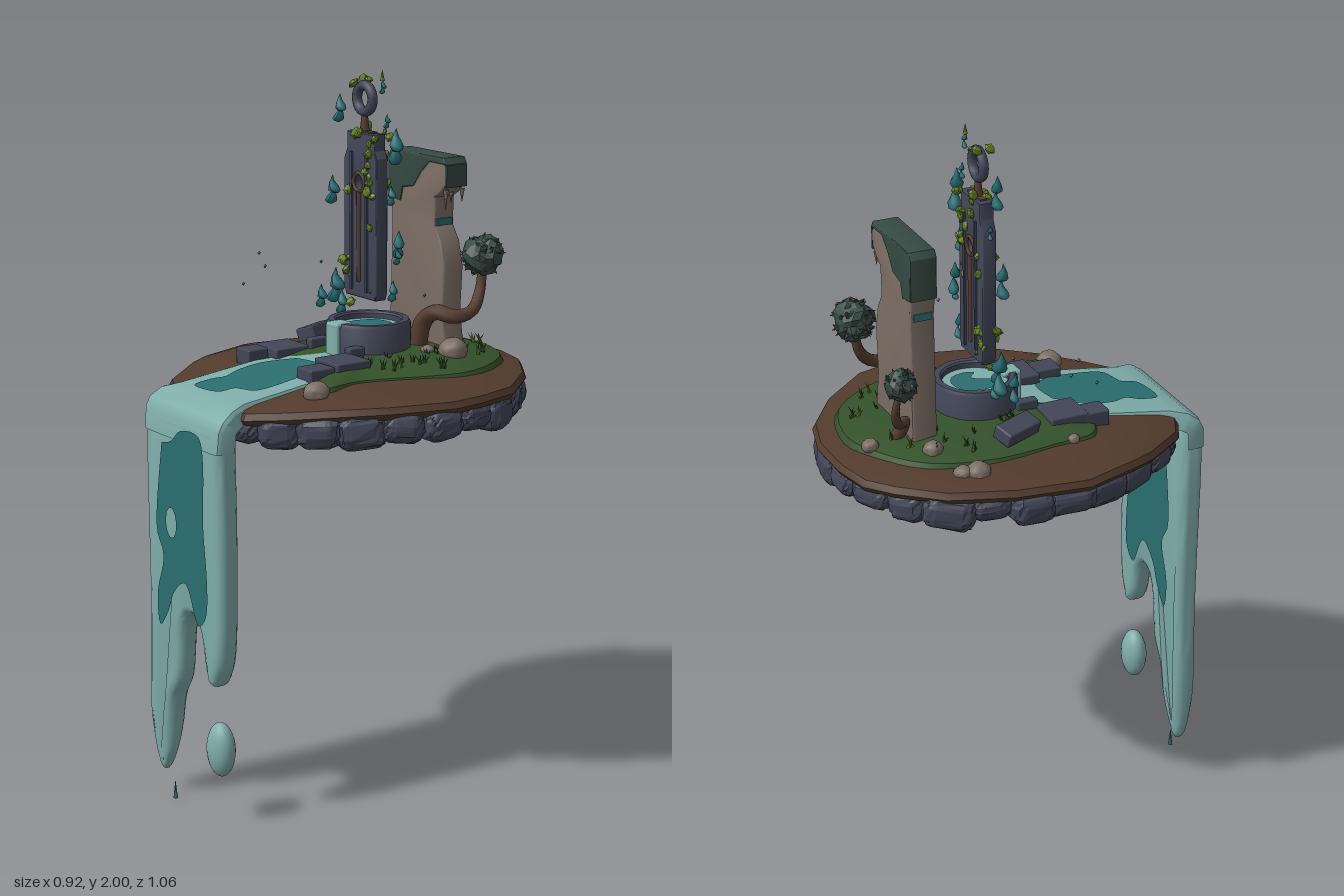
import * as THREE from 'three';
import { toCreasedNormals } from 'three/addons/utils/BufferGeometryUtils.js';
import { RoundedBoxGeometry } from 'three/addons/geometries/RoundedBoxGeometry.js';

const V = (x, y, z) => new THREE.Vector3(x, y, z);
const mat = (name, color, side = THREE.FrontSide) => {
  const m = new THREE.MeshStandardMaterial({ color, side });
  m.name = name;
  return m;
};

export function createModel() {
  const root = new THREE.Group();
  root.name = 'floatingIsland';
  const dirt = mat('dirt', 0x523b2d), grass = mat('grass', 0x34512a), stone = mat('stone', 0x424658);
  const tan = mat('paleRock', 0x7c6e64), moss = mat('moss', 0x364a43), bark = mat('bark', 0x573e31);
  const water = mat('water', 0x7fadaa, THREE.DoubleSide), deep = mat('deepWater', 0x2b6e6f, THREE.DoubleSide);
  const wispMat = mat('wisp', 0x226b71), vineMat = mat('vine', 0x618222);

  let seed = 7;
  const rnd = (a = 0, b = 1) => {
    seed = (seed * 16807) % 2147483647;
    return a + (b - a) * seed / 2147483647;
  };
  const group = (name) => {
    const g = new THREE.Group();
    g.name = name;
    root.add(g);
    return g;
  };
  const add = (name, geo, material, pos = [0, 0, 0], rot = [0, 0, 0], parent = root) => {
    const m = new THREE.Mesh(geo, material);
    m.name = name;
    m.position.set(...pos);
    m.rotation.set(...rot);
    parent.add(m);
    return m;
  };
  // moves corners in or out by a hash of their place, so shared corners stay joined
  const rough = (geo, amount, salt = 0) => {
    const p = geo.attributes.position, v = V();
    for (let i = 0; i < p.count; i++) {
      v.fromBufferAttribute(p, i);
      const r = (n) => Math.round(n * 1000) / 1000 + salt;
      const h = Math.sin(r(v.x) * 127.1 + r(v.y) * 311.7 + r(v.z) * 74.7) * 43758.5;
      v.multiplyScalar(1 + amount * ((h - Math.floor(h)) * 2 - 1));
      p.setXYZ(i, v.x, v.y, v.z);
    }
    geo.computeVertexNormals();
    return geo;
  };
  // grid of rows of points, joined into a surface
  const surface = (rows, closed) => {
    const n = rows[0].length, pos = rows.flat().flatMap((p) => [p.x, p.y, p.z]), idx = [];
    for (let j = 0; j + 1 < rows.length; j++) for (let i = 0; i < (closed ? n : n - 1); i++) {
      const a = j * n + i, b = j * n + (i + 1) % n;
      idx.push(a, a + n, b + n, a, b + n, b);
    }
    const g = new THREE.BufferGeometry();
    g.setAttribute('position', new THREE.Float32BufferAttribute(pos, 3));
    g.setIndex(idx);
    g.computeVertexNormals();
    return toCreasedNormals(g, 0.6);
  };
  // scaled copies of an outline at given heights, sagging toward the front
  const mound = (outline, cz, profile) => surface(profile.map(([s, y]) => outline.map(([x, z]) => {
    const zz = cz + (z - cz) * s;
    return V(x * s, y - .09 * Math.max(0, zz - .18), zz);
  })), true);
  const vec2 = (pts) => pts.map((p) => new THREE.Vector2(...p));
  const shapeOf = (pts, smooth) => new THREE.Shape(smooth
    ? new THREE.SplineCurve(vec2([...pts, pts[0]])).getPoints(pts.length * 4) : vec2(pts));
  const slab = (shape, depth, bevel) => new THREE.ExtrudeGeometry(shape, {
    depth: depth - 2 * bevel, bevelEnabled: bevel > 0, bevelSize: bevel, bevelOffset: -bevel,
    bevelThickness: bevel, bevelSegments: 3,
  }).translate(0, 0, -depth / 2 + bevel);

  // ground disc with a shallow hollow below
  const rim = [[0, .445], [.17, .44], [.25, .36], [.33, .26], [.41, .14], [.457, -.04], [.445, -.14], [.41, -.27],
    [.29, -.41], [.16, -.5], [.04, -.53], [-.1, -.525], [-.21, -.5], [-.28, -.44], [-.37, -.33], [-.43, -.16],
    [-.457, .04], [-.4, .21], [-.37, .27], [-.27, .4], [-.19, .44]];
  add('ground', mound(rim, -.04, [[0, 1.2], [.6, 1.195], [.9, 1.182], [.98, 1.172], [1, 1.155], [.98, 1.14],
    [.88, 1.115], [.5, 1.125], [0, 1.13]]), dirt);
  const lawn = [[0, .08], [.1, .16], [.17, .23], [.235, .22], [.225, .1], [.29, -.1], [.305, -.21], [.26, -.33],
    [.16, -.44], [-.01, -.48], [-.14, -.43], [-.23, -.36], [-.28, -.27], [-.305, -.13], [-.29, .04], [-.27, .16], [-.15, .19]];
  const lawnEdge = shapeOf(lawn, true).getPoints().slice(0, -1).map((p) => [p.x, p.y]);
  add('lawn', mound(lawnEdge, -.14, [[0, 1.235], [.5, 1.23], [.8, 1.215], [.95, 1.2], [1, 1.17]]), grass);

  // boulders tucked under the rim
  const ring = group('rimStones');
  const curve = new THREE.CatmullRomCurve3(rim.map(([x, z]) => V(x * .882, 0, -.04 + (z + .04) * .882)), true);
  for (let i = 0; i < 25; i++) {
    const p = curve.getPointAt(i / 25), t = curve.getTangentAt(i / 25), h = rnd(.08, .105);
    const g = rough(new RoundedBoxGeometry(rnd(.105, .15), h, rnd(.085, .115), 3, .038), .04, i);
    add('rimStone', g, stone, [p.x, 1.156 - h / 2 - Math.max(0, p.z - .2) * .04, p.z],
      [rnd(-.15, .15), Math.atan2(-t.z, t.x) + rnd(-.15, .15), rnd(-.1, .1)], ring);
  }

  // pool with a spout
  const px = -.012, pz = -.092;
  add('poolWall', toCreasedNormals(new THREE.LatheGeometry(vec2([[.117, 1.19], [.117, 1.3], [.112, 1.31], [.095, 1.31],
    [.09, 1.305], [.09, 1.2]]), 32), .5), stone, [px, 0, pz]);
  add('poolWater', new THREE.CircleGeometry(.092, 32), water, [px, 1.29, pz], [-Math.PI / 2, 0, 0]);
  add('poolDeep', new THREE.ShapeGeometry(shapeOf([[-.06, .0], [-.045, .045], [0, .065], [.045, .05], [.06, .01], [.05, -.02],
    [.02, .0], [-.01, -.05], [-.05, -.04]], true)), deep, [px, 1.293, pz], [-Math.PI / 2, 0, 0]);
  add('spoutTop', new RoundedBoxGeometry(.055, .016, .055, 3, .008), water, [px, 1.304, .008]);
  add('spoutFall', new RoundedBoxGeometry(.055, .1, .014, 3, .007), water, [px, 1.258, .028]);

  // stream that bends over the edge: z, y, left, right, tilt
  const stream = [[.01, 1.226, -.1, .06, 0], [.2, 1.203, -.165, .15, .1], [.42, 1.172, -.177, .147, .15],
    [.47, 1.162, -.197, .168, .45], [.505, 1.138, -.205, .175, .95], [.519, 1.11, -.205, .175, 1.4], [.524, 1.05, -.203, .173, 1.57]];
  add('stream', surface(stream.map(([z, y, l, r, t]) =>
    [[l, .055], [l, .014], [l + .006, .004], [l + .022, 0], [r - .022, 0], [r - .006, .004], [r, .014], [r, .055]]
      .map(([x, d]) => V(x, y - d * Math.cos(t), z - d * Math.sin(t)))).reverse(), false), water);
  add('streamDeep', new THREE.ShapeGeometry(shapeOf([[-.055, -.12], [.03, -.11], [.075, -.155], [.095, -.22], [.098, -.34],
    [.05, -.365], [.025, -.375], [.01, -.42], [-.09, -.428], [-.1, -.37], [-.085, -.33], [-.105, -.28], [-.105, -.2]], true))
    .rotateX(-Math.PI / 2).applyMatrix4(new THREE.Matrix4().set(1, 0, 0, 0, 0, 1, -.132, 1.232, 0, 0, 1, 0, 0, 0, 0, 1)), deep);

  // hanging water sheet with ragged hem, thinner toward the low tip
  const sheet = slab(shapeOf([[-.185, 1.11], [0, 1.115], [.155, 1.11], [.172, 1.0], [.175, .7], [.165, .5],
    [.14, .42], [.115, .395], [.085, .44], [.065, .53], [.03, .57], [-.01, .56], [-.035, .5], [-.05, .37], [-.09, .29],
    [-.11, .16], [-.14, .085], [-.165, .07], [-.192, .13], [-.205, .3], [-.2, .6], [-.203, 1.0]], true), .066, .024);
  const sp = sheet.attributes.position;
  for (let i = 0; i < sp.count; i++) {
    const low = Math.max(0, .45 - sp.getY(i));
    sp.setZ(i, sp.getZ(i) * Math.min(1, 1.75 - low * 3.4) + low * .02);
  }
  add('waterfall', toCreasedNormals(sheet, .8), water, [0, 0, .488]);
  const patchPoints = [[-.1, 1.03], [-.05, 1.045], [0, 1.083], [.09, 1.083], [.11, 1.0], [.105, .85], [.12, .7], [.115, .6],
    [.07, .56], [.03, .64], [0, .66], [-.05, .62], [-.08, .56], [-.125, .51], [-.135, .6], [-.1, .71], [-.135, .8]];
  const frontPatch = shapeOf(patchPoints, true);
  frontPatch.holes.push(new THREE.Path().absellipse(-.058, .815, .026, .042, 0, Math.PI * 2));
  add('waterfallDeepFront', new THREE.ShapeGeometry(frontPatch), deep, [0, 0, .5275]);
  add('waterfallDeepBack', new THREE.ShapeGeometry(shapeOf(patchPoints, true)), deep, [0, 0, .4515]);
  add('waterDrop', new THREE.SphereGeometry(1, 20, 14).scale(.048, .077, .036), water, [.112, .21, .485]);
  add('tinyDrop', new THREE.ConeGeometry(.007, .055, 6), deep, [-.098, .0275, .505]);

  // stone blocks: x, y, z, width, height, depth, turn, lean
  const blocks = group('blocks');
  for (const [x, y, z, w, h, d, r = 0, l = 0] of [[-.155, 1.21, .1, .11, .05, .11], [-.178, 1.207, .182, .066, .05, .07],
    [.108, 1.215, .08, .112, .05, .11], [.12, 1.207, .175, .07, .05, .08], [-.1, 1.225, .02, .028, .06, .06],
    [.065, 1.225, .01, .03, .06, .05], [-.225, 1.24, -.065, .058, .04, .125, .42, .3]])
    add('block', new RoundedBoxGeometry(w, h, d, 1, .005), stone, [x, y, z], [0, r, l], blocks);

  // floating gate with keyhole, rod and ring
  const gate = shapeOf([[-.08, 1.37], [.055, 1.37], [.062, 1.39], [.062, 1.76], [.05, 1.78], [.05, 1.825], [-.075, 1.825],
    [-.075, 1.78], [-.09, 1.75], [-.09, 1.39]]);
  gate.holes.push(new THREE.Path().absarc(-.016, 1.69, .022, 0, Math.PI * 2));
  add('gate', toCreasedNormals(slab(gate, .04, .005), .5), stone, [0, 0, -.083]);
  add('gateRing', new THREE.TorusGeometry(.036, .014, 8, 24), stone, [-.02, 1.915, -.083]);
  add('ringStem', new THREE.CylinderGeometry(.008, .014, .06, 8), bark, [-.02, 1.85, -.083]);
  add('gateCrest', new THREE.BoxGeometry(.08, .006, .02), bark, [-.014, 1.826, -.083]);
  for (const z of [-.061, -.105]) {
    add('keyholeTrim', new THREE.TorusGeometry(.025, .005, 6, 20), bark, [-.016, 1.69, z]);
    add('gateRod', new THREE.CylinderGeometry(.008, .006, .25, 6), bark, [-.016, 1.54, z]);
    for (const x of [-.05, .02]) add('gateRidge', new THREE.BoxGeometry(.008, .38, .008), stone, [x, 1.58, z]);
  }

  // leafy clusters on the gate
  const vines = group('vines');
  for (const [x, y, n] of [[-.075, 1.45, 12], [.03, 1.74, 10], [.04, 1.68, 8], [-.06, 1.66, 3],
    [-.02, 1.81, 5], [.045, 1.8, 6], [.04, 1.59, 3], [-.06, 1.38, 3], [-.045, 1.94, 3]])
    for (let i = 0; i < n; i++) {
      const s = rnd(.009, .016);
      add('vineLeaf', new THREE.IcosahedronGeometry(s, 0).scale(1, 1.2, .7), vineMat,
        [x + rnd(-.016, .016), y + rnd(-.032, .032), -.083 + (i % 2 ? 1 : -1) * rnd(.014, .027)], [rnd(0, 3), rnd(0, 3), 0], vines);
    }
  add('topLeaf', new THREE.ConeGeometry(.007, .03, 5), vineMat, [.06, 1.985, -.083], [0, 0, 0], vines);

  // curled wisps drifting beside the gate
  const wisps = group('wisps');
  for (const [x, y, s, z = -.085] of [[-.14, 1.87, .036], [-.175, 1.64, .038], [.12, 1.79, .046], [.135, 1.53, .036],
    [-.16, 1.37, .048], [.06, 1.95, .018], [.08, 1.86, .018], [.1, 1.66, .026], [-.13, 1.33, .034], [-.195, 1.34, .032, -.06],
    [-.1, 1.75, .016], [.11, 1.4, .028], [.13, 1.5, .022]])
    for (const side of [-1, 1]) {
      const g = new THREE.LatheGeometry(vec2([[0, -.6], [.32, -.45], [.42, -.1], [.22, .35], [0, .8]]), 8);
      const p = g.attributes.position;
      for (let i = 0; i < p.count; i++) p.setX(i, p.getX(i) + side * .7 * p.getY(i) ** 2);
      g.scale(s, s, s).computeVertexNormals();
      add('wisp', g, wispMat, [x + side * s * .3, y + side * s * .45, z + side * s * .2], [0, rnd(-.6, .6), side * .5], wisps);
    }

  // standing ruin slab with mossy cap and drips
  add('ruin', toCreasedNormals(slab(shapeOf([[-.145, 1.2], [.12, 1.2], [.1, 1.32], [.108, 1.45], [.09, 1.52], [.062, 1.56],
    [.065, 1.64], [.09, 1.655], [.115, 1.68], [.117, 1.72], [.1, 1.75], [-.135, 1.75], [-.145, 1.73], [-.14, 1.6],
    [-.135, 1.57], [-.138, 1.45]]), .07, .008), .5), tan, [0, 0, -.294]);
  add('ruinMoss', toCreasedNormals(slab(shapeOf([[-.148, 1.62], [-.09, 1.61], [-.08, 1.65], [-.03, 1.66], [.0, 1.7],
    [.04, 1.735], [.115, 1.735], [.104, 1.753], [-.137, 1.753], [-.149, 1.735]]), .076, .005), .5), moss, [0, 0, -.294]);
  add('ruinMossEnd', new THREE.BoxGeometry(.008, .062, .07), moss, [.114, 1.703, -.294]);
  for (const [x, h, z] of [[.1, .06, -.27], [.085, .045, -.3], [.108, .04, -.32]])
    add('ruinDrip', new THREE.ConeGeometry(.008, h, 6), tan, [x, 1.665 - h / 2, z], [Math.PI, 0, 0]);
  for (const x of [-.136, .063]) add('ruinStain', new THREE.BoxGeometry(.008, .02, .05), deep, [x, 1.57, -.294]);

  // twisted trees with spiky crowns
  const tree = (name, path, thick, r) => {
    const g = group(name), c = new THREE.CatmullRomCurve3(path.map((p) => V(...p))), n = 24, m = 8;
    const tube = new THREE.TubeGeometry(c, n, thick, m), p = tube.attributes.position;
    for (let j = 0; j <= n; j++) {
      const o = c.getPointAt(j / n), k = 1.2 - .75 * j / n;
      for (let i = 0; i <= m; i++) {
        const q = j * (m + 1) + i, v = V().fromBufferAttribute(p, q).sub(o).multiplyScalar(k).add(o);
        p.setXYZ(q, v.x, v.y, v.z);
      }
    }
    add('trunk', tube, bark, [0, 0, 0], [0, 0, 0], g);
    const top = V(...path[path.length - 1]);
    add('crown', rough(new THREE.IcosahedronGeometry(r * .95, 2), .14), moss, top.toArray(), [0, 0, 0], g);
    for (let i = 0; i < 60; i++) {
      const d = V(rnd(-1, 1), rnd(-1, 1), rnd(-1, 1)).normalize();
      const leaf = add('leaf', new THREE.ConeGeometry(r * .15, r * .4, 4), moss, d.clone().multiplyScalar(r * .95).add(top).toArray(), [0, 0, 0], g);
      leaf.quaternion.setFromUnitVectors(V(0, 1, 0), d.add(V(rnd(-.9, .9), rnd(-.9, .9), rnd(-.9, .9))).normalize());
    }
  };
  tree('rightTree', [[.04, 1.2, -.215], [.065, 1.3, -.225], [.11, 1.33, -.235], [.15, 1.32, -.265], [.152, 1.33, -.325],
    [.13, 1.38, -.37], [.122, 1.475, -.385]], .024, .058);
  tree('leftTree', [[-.085, 1.2, -.36], [-.115, 1.27, -.34], [-.145, 1.28, -.37], [-.175, 1.33, -.39], [-.19, 1.415, -.38]], .016, .044);

  // loose rocks: x, y, z, radius
  const rocks = group('rocks');
  [[-.31, 1.185, -.215, .034], [-.3, 1.185, -.255, .026], [-.195, 1.215, -.295, .028], [-.09, 1.205, -.43, .023],
    [.178, 1.235, -.24, .041], [.215, 1.19, .24, .036], [-.27, 1.2, .08, .016], [.13, 1.23, -.19, .02]]
    .forEach(([x, y, z, r], i) => add('rock', toCreasedNormals(rough(new THREE.IcosahedronGeometry(r, 2).scale(1, .85, 1), .05, i), .7),
      tan, [x, y, z], [0, i, 0], rocks));

  // grass tufts
  const tufts = group('tufts');
  for (let i = 0; i < 56; i++) {
    const a = rnd(0, 6.28), k = rnd(.5, .92), x = .28 * k * Math.cos(a), z = -.15 + .31 * k * Math.sin(a);
    if (z > .02 && Math.abs(x) < .2) continue;
    for (const t of [-.5, .1, .6])
      add('blade', new THREE.ConeGeometry(.005, .035, 3), i % 9 ? grass : vineMat, [x - t * .012, 1.228, z], [rnd(-.5, .5), 0, t], tufts);
  }

  // drifting specks
  const specks = group('specks');
  for (const [x, y, z] of [[-.33, 1.46, .06], [-.32, 1.38, .12], [-.33, 1.42, .04], [.26, 1.42, -.08], [.22, 1.44, .07], [-.21, 1.44, -.07]])
    add('speck', new THREE.OctahedronGeometry(.006), wispMat, [x, y, z], [0, 0, 0], specks);
  return root;
}
